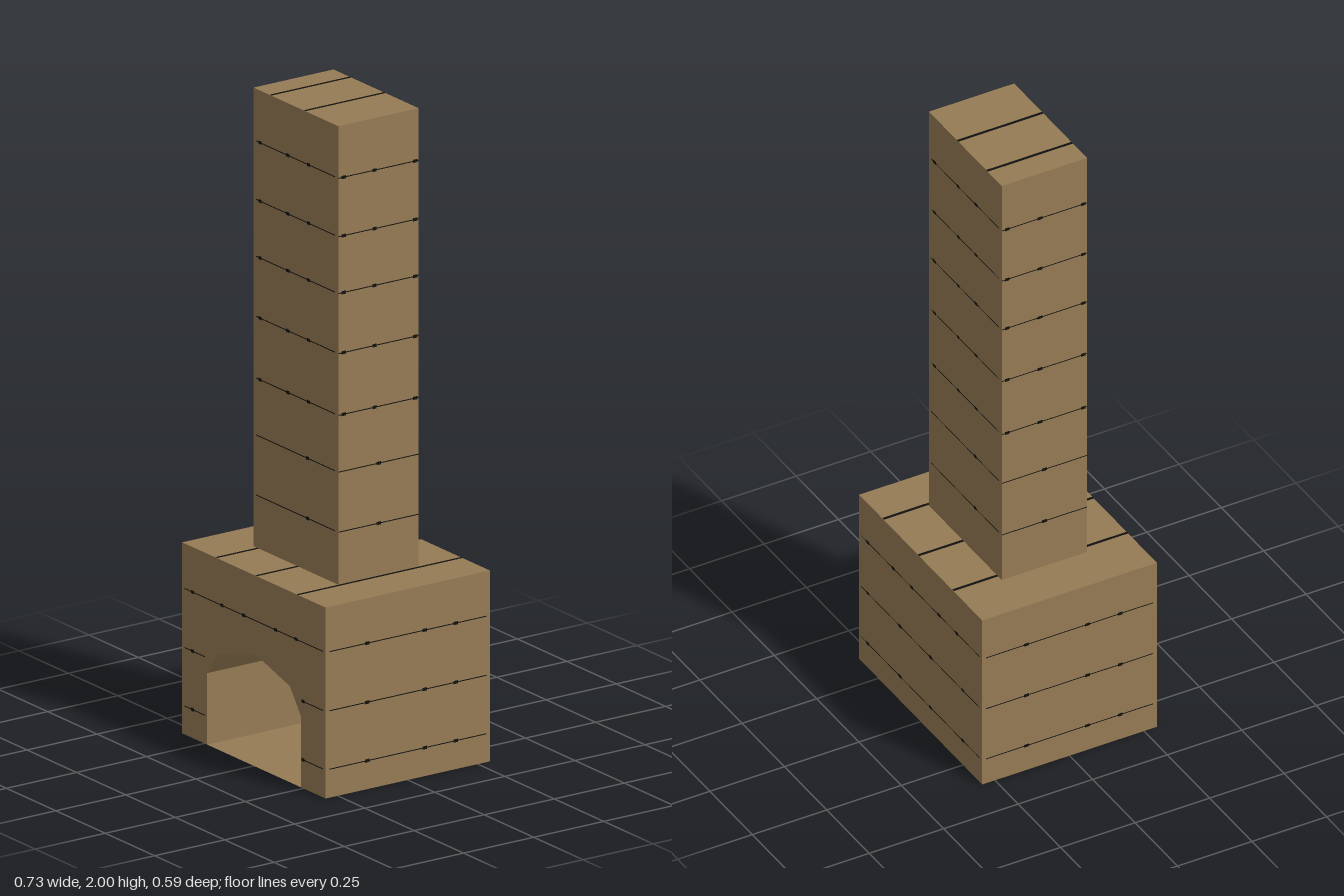
import * as THREE from 'three';
import { mergeGeometries } from 'three/addons/utils/BufferGeometryUtils.js';

const W = 0.363, D = 0.293, H = 0.588;   // hearth half width, half depth, height
const CW = 0.215, CD = 0.143;            // chimney half width, half depth
const BACK = -0.18;                      // back of the firebox
const LIFT = 0.001;                      // joints sit just proud of the stone

export function createModel() {
  const group = new THREE.Group();
  group.name = 'fireplace';
  // Double sided so the thin firebox floor also shows from below
  const stone = new THREE.MeshStandardMaterial({ color: 0x967b55, side: THREE.DoubleSide });
  stone.name = 'brown stone';
  const dark = new THREE.MeshStandardMaterial({ color: 0x11110f });
  dark.name = 'dark joint';

  const add = (name, geometry, x, y, z, material = stone) => {
    const mesh = new THREE.Mesh(geometry, material);
    mesh.name = name;
    mesh.position.set(x, y, z);
    group.add(mesh);
    return mesh;
  };

  // Hearth front: block outline with the pointed arch cut up from the ground
  const outline = new THREE.Shape([
    [-W, 0], [-0.237, 0], [-0.237, 0.22], [-0.182, 0.296], [0, 0.348],
    [0.182, 0.296], [0.237, 0.22], [0.237, 0], [W, 0], [W, H], [-W, H],
  ].map(([x, y]) => new THREE.Vector2(x, y)));
  add('hearthSurround', new THREE.ExtrudeGeometry(outline, { depth: D - BACK, bevelEnabled: false }), 0, 0, BACK);

  // Solid wall behind the firebox
  add('hearthBack', new THREE.BoxGeometry(2 * W, H, BACK + D), 0, H / 2, (BACK - D) / 2);

  // Firebox floor, seen from above and below
  const floor = new THREE.PlaneGeometry(0.474, D - BACK).rotateX(-Math.PI / 2);
  add('fireboxFloor', floor, 0, 0, (D + BACK) / 2);

  // Chimney stack
  add('chimney', new THREE.BoxGeometry(2 * CW, 2 - H, 2 * CD), 0, (2 + H) / 2, 0);

  // Thin joints on a wall: each row is [y, from, to, knot positions...]
  const plate = (w, h, x, y) => new THREE.PlaneGeometry(w, h).translate(x, y, 0);
  const joints = (name, rows, distance, turn) => {
    const plates = rows.flatMap(([y, from, to, ...knots]) => [
      plate(to - from, 0.003, (from + to) / 2, y),
      ...knots.map((x) => plate(0.016, 0.01, x, y)),
    ]);
    const geometry = mergeGeometries(plates).translate(0, 0, distance + LIFT).rotateY(turn);
    add(name, geometry, 0, 0, 0, dark);
  };

  // Chimney courses, front and back then both sides
  const courses = [1.84, 1.66, 1.485, 1.3, 1.11, 0.935, 0.75];
  const wide = courses.map((y) => [y, -0.2, 0.2, ...(y < 1 ? [0.06] : [-0.18, -0.04, 0.065])]);
  const narrow = courses.map((y) => [y, -CD, CD, ...(y < 1 ? [0] : [-0.125, -0.015, 0.13])]);
  // Hearth courses
  const upper = [0.45, -0.35, 0.35, -0.31, -0.16, -0.05, 0.11, 0.215];
  const lower = [0.268, 0.088].flatMap((y) => [[y, -0.35, -0.245, -0.31], [y, 0.245, 0.35, 0.25]]);
  const plain = [upper, ...[0.268, 0.088].map((y) => [y, -0.35, 0.35, -0.31, -0.12, 0.06, 0.25])];
  const side = [0.45, 0.268, 0.088].map((y) => [y, -0.28, 0.28, -0.145, 0.06, 0.17]);

  joints('hearthFrontJoints', [upper, ...lower], D, 0);
  joints('hearthBackJoints', plain, D, Math.PI);
  joints('fireboxJoints', [[0.07, -0.235, 0.18, -0.21, 0.06, 0.13]], BACK, 0);
  for (const s of [0, 1]) {
    joints('chimneyWideJoints', wide, CD, s * Math.PI);
    joints('chimneySideJoints', narrow, CW, (s - 0.5) * Math.PI);
    joints('hearthSideJoints', side, W, (s - 0.5) * Math.PI);
  }

  // Joints running front to back over the flat tops
  const topJoint = (name, x, y, z, length) =>
    add(name, new THREE.PlaneGeometry(0.01, length).rotateX(-Math.PI / 2), x, y + LIFT, z, dark);
  for (const x of [-0.19, 0.012, 0.222]) {
    for (const s of [-1, 1]) topJoint('hearthTopJoint', x, H, s * (CD + D) / 2, D - CD);
  }
  topJoint('hearthTopJoint', 0.222, H, 0, 2 * CD);
  for (const x of [-0.128, 0.045]) topJoint('chimneyTopJoint', x, 2, 0, 2 * CD);

  return group;
}
